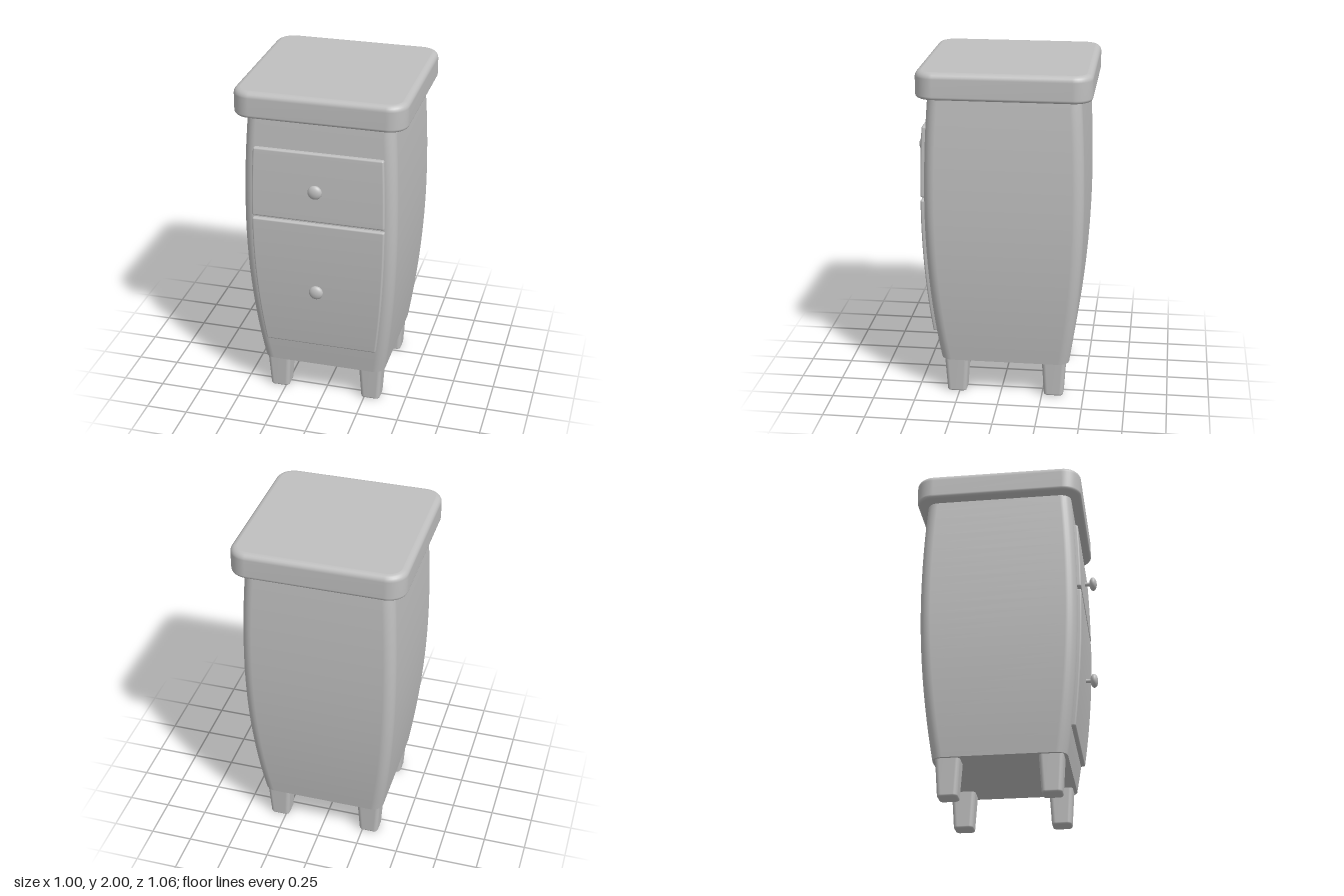
import * as THREE from 'three';

const CZ = -0.027; // depth centre of the cabinet

// half-width of the bulging body at height y
const half = (y) => 0.453 - (y < 1.2 ? 0.081 : 0.06) * (y - 1.2) ** 2;
const halfZ = (y) => half(y) + 0.009;

// Stack of rounded rectangles { y, hx, hz, r, cx, cz } with smooth walls and flat end caps
function loft(rings, seg = 6) {
  const pos = [], index = [], n = 4 * (seg + 1);
  const addRing = ({ y, hx, hz, r, cx = 0, cz = 0 }) => {
    const start = pos.length / 3;
    for (let q = 0; q < 4; q++) {
      const sx = q === 0 || q === 3 ? 1 : -1, sz = q < 2 ? 1 : -1;
      for (let i = 0; i <= seg; i++) {
        const a = (q + i / seg) * Math.PI / 2;
        pos.push(cx + sx * (hx - r) + r * Math.cos(a), y, cz + sz * (hz - r) + r * Math.sin(a));
      }
    }
    return start;
  };
  const starts = rings.map(addRing);
  for (let k = 0; k < starts.length - 1; k++) {
    for (let i = 0; i < n; i++) {
      const j = (i + 1) % n;
      const a = starts[k] + i, b = starts[k] + j, c = starts[k + 1] + j, d = starts[k + 1] + i;
      index.push(a, d, b, b, d, c);
    }
  }
  // caps have their own vertices so their edges stay crisp
  const bottom = addRing(rings[0]), top = addRing(rings[rings.length - 1]);
  for (let i = 1; i < n - 1; i++) {
    index.push(bottom, bottom + i, bottom + i + 1, top, top + i + 1, top + i);
  }
  const geo = new THREE.BufferGeometry();
  geo.setAttribute('position', new THREE.Float32BufferAttribute(pos, 3));
  geo.setIndex(index);
  geo.computeVertexNormals();
  return geo;
}

// Heights and insets of rounded lower and upper edges: [y, inset]
function roundedEnds(y0, y1, r0, r1, between = 0, steps = 5) {
  const list = [];
  for (let i = 0; i <= steps; i++) {
    const a = i / steps * Math.PI / 2;
    list.push([y0 + r0 * (1 - Math.cos(a)), r0 * (1 - Math.sin(a))]);
  }
  for (let i = 1; i <= between; i++) {
    list.push([y0 + r0 + (y1 - r1 - y0 - r0) * i / (between + 1), 0]);
  }
  for (let i = 0; i <= steps; i++) {
    const a = i / steps * Math.PI / 2;
    list.push([y1 - r1 * (1 - Math.sin(a)), r1 * (1 - Math.cos(a))]);
  }
  return list;
}

export function createModel() {
  const model = new THREE.Group();
  const grey = new THREE.MeshStandardMaterial({ color: 0xbfbfbf });
  grey.name = 'plain grey';
  const add = (name, geo) => {
    const mesh = new THREE.Mesh(geo, grey);
    mesh.name = name;
    model.add(mesh);
    return mesh;
  };

  // bulging body
  const bodyRings = [];
  for (let i = 0; i <= 28; i++) {
    const y = 0.22 + (1.85 - 0.22) * i / 28;
    bodyRings.push({ y, hx: half(y), hz: halfZ(y), r: 0.065, cz: CZ });
  }
  add('body', loft(bodyRings));

  // table top with softened edges
  add('tableTop', loft(roundedEnds(1.845, 2, 0.02, 0.035).map(([y, d]) =>
    ({ y, hx: 0.5 - d, hz: 0.5 - d, r: 0.11 - d, cz: CZ })), 10));

  // drawer fronts that follow the curve of the body
  const frontZ = (y) => CZ + halfZ(y) + 0.024;
  for (const [name, y0, y1] of [['upperDrawer', 1.242, 1.663], ['lowerDrawer', 0.387, 1.226]]) {
    add(name, loft(roundedEnds(y0, y1, 0.01, 0.01, 14).map(([y, d]) =>
      ({ y, hx: half(y) - 0.062 - d, hz: 0.03 - d, r: 0.0105 - d, cz: frontZ(y) - 0.03 })), 4));
  }

  // round knobs on thin stems
  const profile = [[0.012, -0.01], [0.012, 0.028]];
  for (let i = 1; i <= 14; i++) {
    const a = -Math.PI / 2 + 0.3 + (Math.PI - 0.3) * i / 14;
    profile.push([Math.max(0, 0.042 * Math.cos(a)), 0.05 + 0.023 * Math.sin(a)]);
  }
  const knobGeo = new THREE.LatheGeometry(profile.map(([x, y]) => new THREE.Vector2(x, y)), 28);
  knobGeo.rotateX(Math.PI / 2);
  for (const [name, y] of [['upperKnob', 1.455], ['lowerKnob', 0.805]]) {
    add(name, knobGeo).position.set(0, y, frontZ(y));
  }

  // tapered legs
  const legGeo = loft(roundedEnds(0, 0.23, 0.012, 0.001).map(([y, d]) => {
    const h = 0.058 + 0.013 * y / 0.22 - d;
    return { y, hx: h, hz: h, r: 0.025 - d };
  }));
  for (const sx of [1, -1]) {
    for (const sz of [1, -1]) {
      add((sz > 0 ? 'front' : 'back') + (sx > 0 ? 'Left' : 'Right') + 'Leg', legGeo)
        .position.set(0.288 * sx, 0, CZ + 0.293 * sz);
    }
  }
  return model;
}
